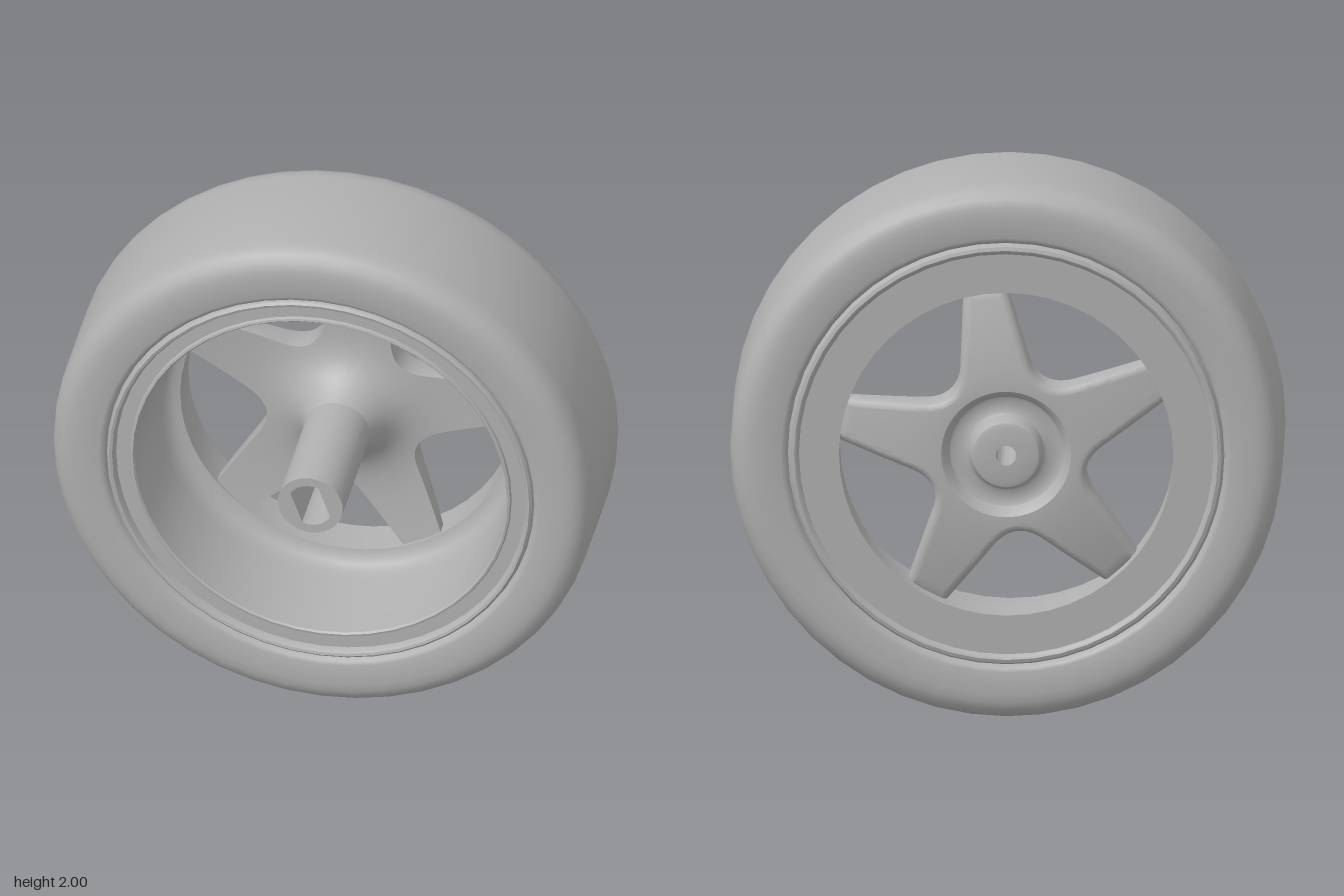
import * as THREE from 'three';
import { toCreasedNormals } from 'three/addons/utils/BufferGeometryUtils.js';

const AXIS_Z = -0.075; // mid-plane of the tyre
const SEGMENTS = 48;

// Turn an (r, z) profile around the z axis
function turned(profile, segments = SEGMENTS) {
  const geo = new THREE.LatheGeometry(profile.map(([r, z]) => new THREE.Vector2(r, z)), segments);
  geo.rotateX(Math.PI / 2);
  return toCreasedNormals(geo, 0.6);
}

// Five-armed outline, counter-clockwise
function starOutline() {
  const shape = new THREE.Shape();
  for (let k = 0; k < 5; k++) {
    const at = (u, v, turn = 0) => {
      const a = THREE.MathUtils.degToRad(10.5 + 72 * (k + turn));
      return [u * Math.cos(a) - v * Math.sin(a), u * Math.sin(a) + v * Math.cos(a)];
    };
    if (k === 0) shape.moveTo(...at(0.33, -0.125));
    shape.lineTo(...at(0.62, -0.076));
    shape.lineTo(...at(0.62, 0.076));
    shape.lineTo(...at(0.33, 0.125));
    shape.quadraticCurveTo(...at(0.2025, 0.147), ...at(0.33, -0.125, 1));
  }
  const points = shape.getSpacedPoints(260);
  points.pop();
  return points;
}

// Domed star: flared front, bevelled back edge
function spokeGeometry() {
  const frontZ = (r) => -0.255 + 0.155 * Math.exp(-(r - 0.12) / 0.07) + 0.035 * ((r - 0.12) / 0.5) ** 2;
  const backZ = (r) => -0.36 + 0.07 * Math.pow(Math.max(0, r - 0.25) / 0.36, 1.5);
  const outline = starOutline();
  const count = outline.length, steps = 12;
  const positions = [], index = [];
  let rows = 0;
  outline.forEach((p, i) => {
    const before = outline[(i + count - 1) % count], after = outline[(i + 1) % count];
    const tangent = after.clone().sub(before).normalize();
    const inset = new THREE.Vector2(p.x - tangent.y * 0.024, p.y + tangent.x * 0.024);
    const section = [];
    const add = (q, z) => section.push(q.x, q.y, z);
    const frontRoot = p.clone().setLength(0.115), backRoot = inset.clone().setLength(0.235);
    for (let s = 0; s <= steps; s++) {
      const q = frontRoot.clone().lerp(p, Math.pow(s / steps, 1.4));
      add(q, frontZ(q.length()));
    }
    add(p, backZ(p.length()) + 0.022);
    const shoulder = p.clone().lerp(inset, 0.4);
    add(shoulder, backZ(shoulder.length()) + 0.007);
    for (let s = 0; s <= steps; s++) {
      const q = inset.clone().lerp(backRoot, s / steps);
      add(q, backZ(q.length()));
    }
    rows = section.length / 3;
    positions.push(...section);
  });
  for (let i = 0; i < count; i++) {
    for (let j = 0; j < rows - 1; j++) {
      const a = i * rows + j, d = ((i + 1) % count) * rows + j;
      index.push(a, a + 1, d + 1, a, d + 1, d);
    }
  }
  const geo = new THREE.BufferGeometry();
  geo.setAttribute('position', new THREE.Float32BufferAttribute(positions, 3));
  geo.setIndex(index);
  return toCreasedNormals(geo, 0.6);
}

// Shaft with a two-flatted socket
function shaftGeometry() {
  const shape = new THREE.Shape().absarc(0, 0, 0.12, 0, Math.PI * 2);
  const a = Math.acos(0.055 / 0.085), tilt = 0.34;
  const socket = new THREE.Path();
  socket.absarc(0, 0, 0.085, tilt + a, tilt + Math.PI - a);
  socket.absarc(0, 0, 0.085, tilt + Math.PI + a, tilt + 2 * Math.PI - a);
  socket.closePath();
  shape.holes.push(socket);
  const geo = new THREE.ExtrudeGeometry(shape, { depth: 0.575, bevelEnabled: false, curveSegments: 20 });
  geo.translate(0, 0, -0.2);
  return toCreasedNormals(geo, 0.6);
}

export function createModel() {
  const group = new THREE.Group();
  group.name = 'wheel';
  const grey = new THREE.MeshStandardMaterial({ color: 0xb0b0b0 });
  grey.name = 'grey';
  const wheel = new THREE.Group();
  wheel.name = 'wheelAssembly';
  wheel.position.y = 1;
  group.add(wheel);
  const add = (name, geometry) => {
    const mesh = new THREE.Mesh(geometry, grey);
    mesh.name = name;
    wheel.add(mesh);
  };

  // Tyre: half profile mirrored about its mid-plane
  const half = [[0.79, 0.27], [0.794, 0.285], [0.802, 0.295], [0.815, 0.3], [0.9, 0.3],
    [0.93, 0.297], [0.958, 0.286], [0.98, 0.266], [0.994, 0.236], [1, 0.2]];
  const front = half.map(([r, z]) => [r, AXIS_Z + z]).reverse();
  const back = half.map(([r, z]) => [r, AXIS_Z - z]);
  add('tyre', turned([...back, ...front]));

  // Rim: front beads, tapered barrel, filleted flange, back bead
  add('rim', turned([
    [0.79, 0.195], [0.786, 0.212], [0.777, 0.22], [0.767, 0.217], [0.76, 0.205], [0.757, 0.19],
    [0.706, 0.19], [0.702, 0.2], [0.694, 0.202], [0.688, 0.195], [0.686, 0.17],
    [0.675, -0.12], [0.669, -0.155], [0.655, -0.185], [0.633, -0.203], [0.605, -0.21],
    [0.605, -0.355], [0.75, -0.355], [0.757, -0.367], [0.767, -0.372], [0.78, -0.368], [0.79, -0.345],
  ]));

  add('spokes', spokeGeometry());
  add('shaft', shaftGeometry());

  // Socket floor, through bore, back boss and the dish around it
  add('hubBoss', turned([
    [0.1, -0.05], [0.037, -0.05], [0.037, -0.375], [0.105, -0.375], [0.12, -0.37], [0.13, -0.355],
    [0.138, -0.318], [0.15, -0.31], [0.19, -0.31], [0.205, -0.316], [0.225, -0.352], [0.236, -0.36],
  ], 40));

  return group;
}
